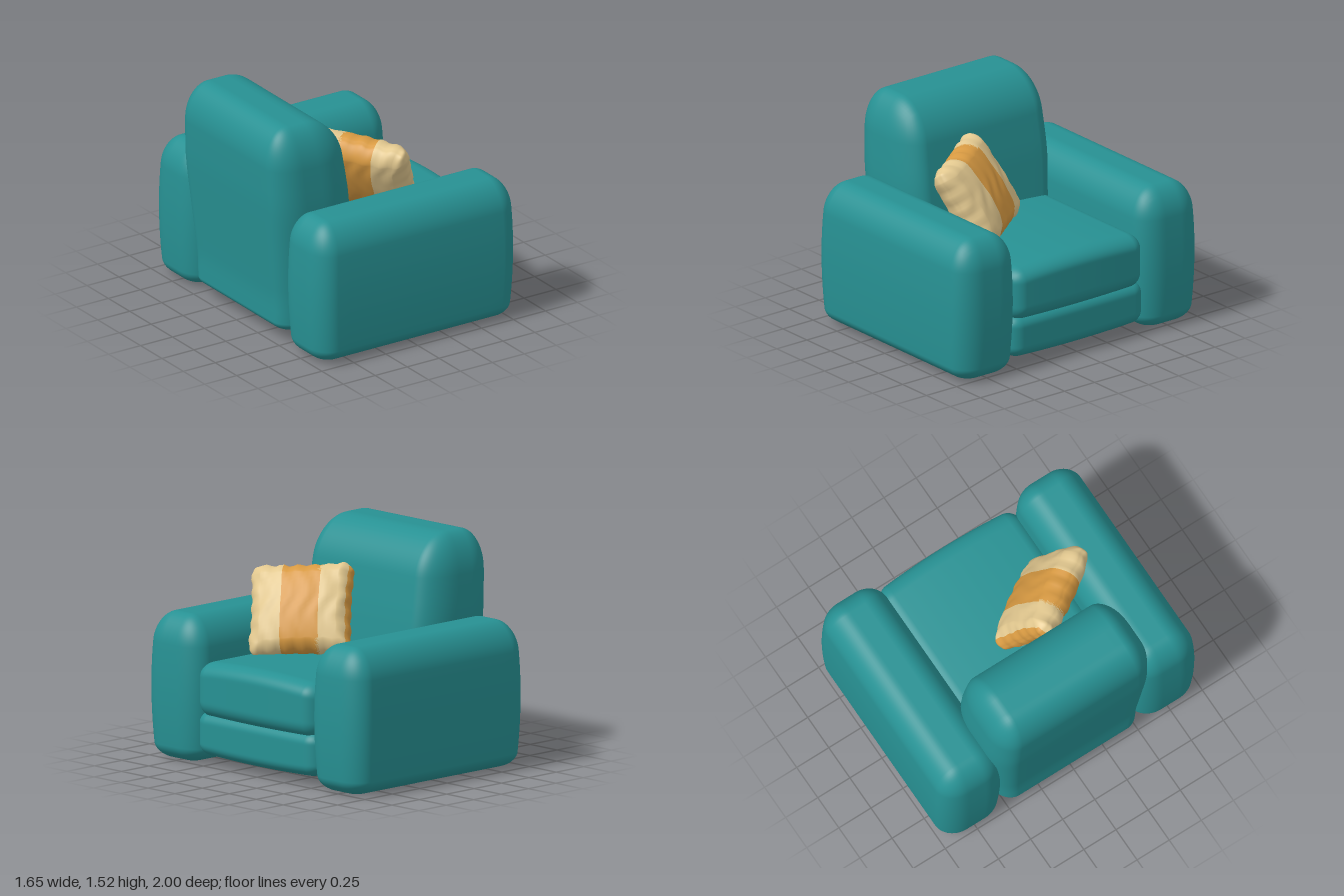
import * as THREE from 'three';
import { mergeVertices } from 'three/addons/utils/BufferGeometryUtils.js';

const mat = (name, color) => {
  const m = new THREE.MeshStandardMaterial({ color });
  m.name = name;
  return m;
};

// One axis of a padded block: straight core, then a rounded end; r = [low, high]
function axis(t, h, r) {
  const [lo, hi] = Array.isArray(r) ? r : [r, r];
  const c = THREE.MathUtils.clamp(t * 2, -1, 1);
  const core = THREE.MathUtils.lerp(-h + lo, h - hi, (c + 1) / 2);
  const d = Math.abs(t) <= 0.5 ? 0 : Math.sign(t) * Math.tan((Math.abs(t) - 0.5) * Math.PI / 2);
  return { core, d, r: t < 0 ? lo : hi };
}

// Padded block with half sizes h and edge radii r, reshaped by warp
function cushionGeometry(h, r, warp, seg = 28) {
  let g = new THREE.BoxGeometry(2, 2, 2, seg, seg, seg);
  g.deleteAttribute('uv');
  g.deleteAttribute('normal');
  g = mergeVertices(g, 1e-4);
  const p = g.attributes.position;
  const v = new THREE.Vector3();
  for (let i = 0; i < p.count; i++) {
    const a = [p.getX(i), p.getY(i), p.getZ(i)].map((t, k) => axis(t, h[k], r[k]));
    const k = 1 / Math.hypot(a[0].d, a[1].d, a[2].d);
    v.set(...a.map((q) => q.core + q.d * k * q.r));
    warp(v);
    p.setXYZ(i, v.x, v.y, v.z);
  }
  g.computeVertexNormals();
  return g;
}

export function createModel() {
  const model = new THREE.Group();
  const teal = mat('teal upholstery', 0x279193);
  const sand = mat('sand fabric', 0xe2c88f);
  const ochre = mat('ochre fabric', 0xd89a42);

  function add(name, geometry, material, pos = [0, 0, 0]) {
    const m = new THREE.Mesh(geometry, material);
    m.name = name;
    m.position.set(...pos);
    model.add(m);
    return m;
  }

  // Arms: thick slabs, rounder on top, slightly barrelled
  const arm = cushionGeometry([0.79, 0.488, 0.245], [0.14, [0.1, 0.2], 0.17], (v) => {
    const t = v.y / 0.488;
    v.z *= 1 - (t > 0 ? 0.12 : 0.09) * t * t;
    v.x *= 1 - 0.035 * t * t;
  });
  for (const [name, s] of [['leftArm', 1], ['rightArm', -1]])
    add(name, arm, teal, [0.03, 0.49, s * 0.755]);

  // Backrest: leans backwards, rounded over the top, narrower at its top and foot
  add('backrest', cushionGeometry([0.305, 0.73, 0.61], [[0.2, 0.26], [0.08, 0.27], 0.15], (v) => {
    const y = v.y + 0.79;
    const foot = Math.max(0, 0.9 - y);
    v.z *= 1 - 0.11 * foot - 0.12 * Math.max(0, y - 1) ** 1.3;
    v.x *= 1 - 0.18 * Math.max(0, y - 1);
    v.x -= 0.1 * (Math.max(y, 0.3) - 1);
  }), teal, [-0.51, 0.79, 0]);

  // Seat cushion crowned in the middle, over a lower base
  add('seatCushion', cushionGeometry([0.655, 0.18, 0.55], [0.12, [0.11, 0.09], 0.1], (v) => {
    const z = v.z / 0.55;
    if (v.y > 0) v.y += 0.03 * (1 - z * z);
    v.x -= 0.02 * z * z * Math.sign(v.x);
  }), teal, [0.155, 0.505, 0]);
  add('base', cushionGeometry([0.74, 0.155, 0.56], [0.1, 0.08, 0.1], (v) => {
    const z = v.z / 0.56;
    if (v.y < 0) v.y += 0.015 * z * z;
  }), teal, [0.04, 0.215, 0]);

  // Throw pillow: plump centre, pinched wrinkled rim
  const pillow = cushionGeometry([0.345, 0.315, 0.14], [0.08, 0.08, 0.11], (v) => {
    const u = v.x / 0.345, w = v.y / 0.315;
    const plump = Math.sqrt(Math.max(0, (1 - u * u) * (1 - w * w)));
    v.z *= 0.4 + 0.6 * plump;
    v.z += 0.006 * Math.sin(u * 17 + 2 * Math.sin(w * 5)) * (1 - 0.5 * plump);
    v.x *= 1 - 0.05 * (1 - w * w);
    v.y *= 1 - 0.04 * (1 - u * u);
    v.y += 0.007 * Math.sin(u * 21) * w * w;
    v.x += 0.005 * Math.sin(w * 19 + 1) * u * u;
  }, 36);

  // Sort the pillow faces into the plain ends and the middle band
  const idx = pillow.index.array, px = pillow.attributes.position;
  const ends = [], band = [];
  for (let i = 0; i < idx.length; i += 3) {
    const tri = [idx[i], idx[i + 1], idx[i + 2]];
    const x = tri.reduce((s, j) => s + px.getX(j), 0) / 3;
    (x > -0.135 && x < 0.115 ? band : ends).push(...tri);
  }
  pillow.setIndex([...ends, ...band]);
  pillow.addGroup(0, ends.length, 0);
  pillow.addGroup(ends.length, band.length, 1);

  // Lean the pillow in the seat, turned towards a corner
  const U = new THREE.Vector3(0.365, -0.05, 0.55).normalize();
  const N = U.clone().cross(new THREE.Vector3(-0.235, 0.52, 0.21)).normalize();
  const V = N.clone().cross(U);
  const mesh = add('throwPillow', pillow, [sand, ochre], [0.065, 0.97, 0.285]);
  mesh.quaternion.setFromRotationMatrix(new THREE.Matrix4().makeBasis(U, V, N));

  return model;
}
